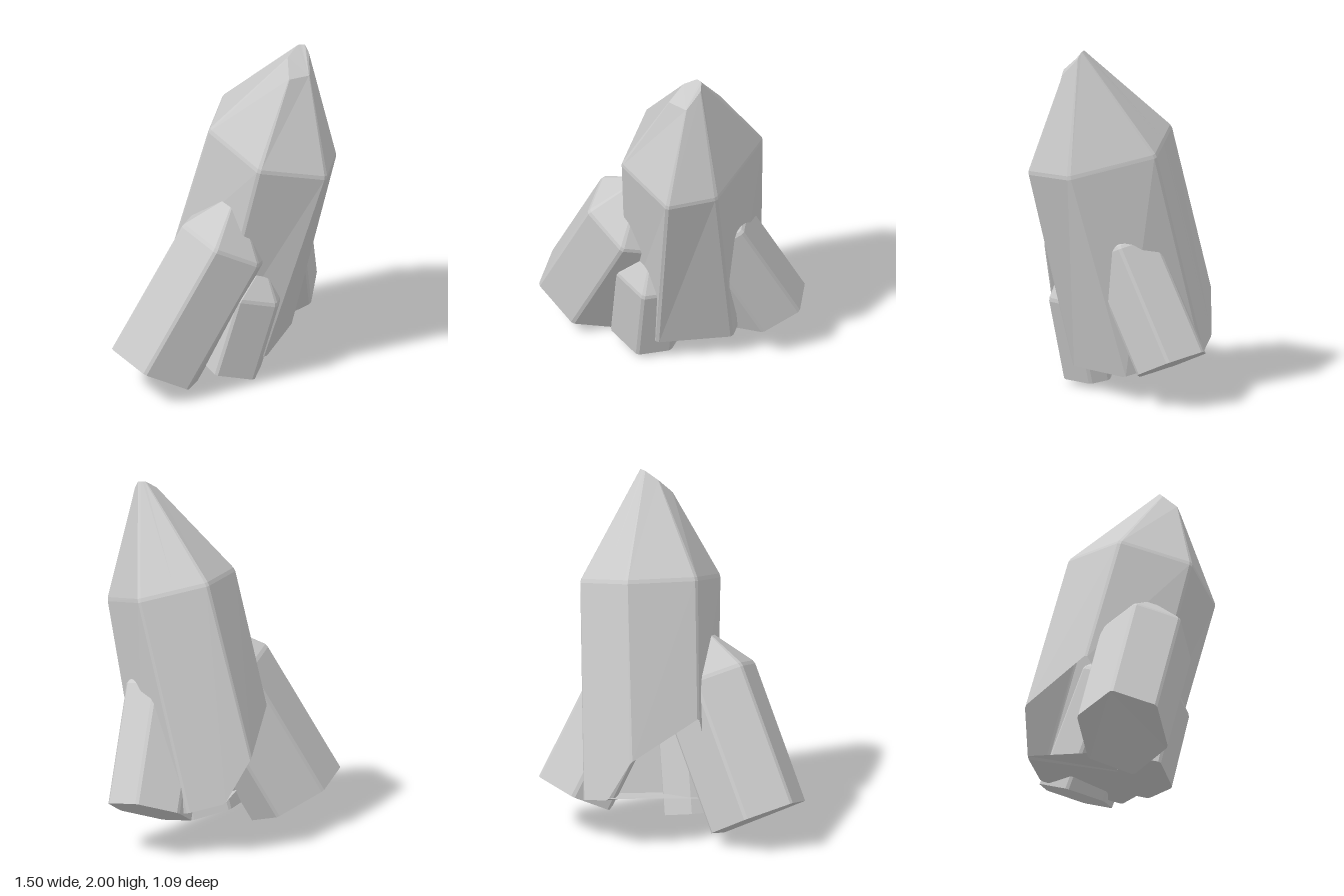
import * as THREE from 'three';

const V = (p) => new THREE.Vector3(...p);

// Split every corner of a ring into two points, giving narrow bevels along the edges
function soften(ring, r) {
  const n = ring.length;
  return ring.flatMap((p, i) => [ring[(i + n - 1) % n], ring[(i + 1) % n]].map((q) => {
    const d = q.clone().sub(p);
    return p.clone().addScaledVector(d, Math.min(0.3, r / Math.max(d.length(), 1e-4)));
  }));
}

// Point at distance d from a towards b
const step = (a, b, d) => a.clone().add(b.clone().sub(a).setLength(d));

// Faceted crystal lofted through base, shoulder and tip rings (counter-clockwise seen from above).
// floor lists the base corners that close the underside.
function crystal(name, base, shoulder, tip, floor, bevel = 0.012) {
  const rings = [
    base,
    shoulder.map((p, i) => step(p, base[i], bevel)),
    shoulder.map((p, i) => step(p, tip[i], bevel)),
    tip,
  ].map((ring, k) => soften(ring, k === 3 ? 0.004 : bevel));
  const pos = [];
  const tri = (...pts) => pts.forEach((p) => pos.push(p.x, p.y, p.z));
  const n = rings[0].length;

  // Walls, shoulder bevel and point
  for (let k = 0; k < 3; k++) {
    for (let i = 0; i < n; i++) {
      const j = (i + 1) % n;
      const [a, b, c, d] = [rings[k][i], rings[k][j], rings[k + 1][j], rings[k + 1][i]];
      tri(a, b, c);
      tri(a, c, d);
    }
  }
  // Tip cap
  for (let i = 1; i < n - 1; i++) tri(rings[3][0], rings[3][i], rings[3][i + 1]);
  // Underside
  const under = floor.flatMap((i) => [rings[0][2 * i], rings[0][2 * i + 1]]);
  for (let i = 1; i < under.length - 1; i++) tri(under[0], under[i + 1], under[i]);

  const geo = new THREE.BufferGeometry();
  geo.setAttribute('position', new THREE.Float32BufferAttribute(pos, 3));
  geo.computeVertexNormals();
  const mesh = new THREE.Mesh(geo, new THREE.MeshStandardMaterial({
    color: 0xcccccc, flatShading: true, side: THREE.DoubleSide,
  }));
  mesh.name = name;
  return mesh;
}

// Six-sided crystal: base ring pushed along an axis, closing to a small blunt tip
function sideCrystal(name, basePts, axis, tipPt) {
  const base = basePts.map(V);
  const shoulder = base.map((p) => p.clone().add(V(axis)));
  const centre = shoulder.reduce((s, p) => s.add(p), new THREE.Vector3()).divideScalar(6);
  const tip = shoulder.map((p) => V(tipPt).addScaledVector(p.clone().sub(centre), 0.08));
  return crystal(name, base, shoulder, tip, [0, 1, 2, 3, 4, 5]);
}

export function createModel() {
  const group = new THREE.Group();
  group.name = 'crystalCluster';

  // Large leaning crystal; its lower back corner is broken open
  const base = [
    [0.03, 0.13, 0.24], [0.41, 0.14, 0.05], [0.41, 0.25, -0.41], [0.23, 0.3, -0.51],
    [0.08, 0.55, -0.55], [-0.22, 0.75, -0.25], [-0.22, 0.17, 0.06],
  ].map(V);
  const shoulder = [
    [0.205, 1.3, 0.55], [0.44, 1.31, 0.38], [0.54, 1.43, -0.1], [0.37, 1.475, -0.195],
    [0.2, 1.52, -0.29], [-0.14, 1.5, -0.05], [-0.14, 1.39, 0.36],
  ].map(V);
  const tip = [
    [0.25, 1.86, 0.36], [0.31, 1.96, 0.29], [0.305, 2.0, 0.265], [0.29, 2.0, 0.25],
    [0.27, 2.0, 0.24], [0.19, 1.95, 0.245], [0.13, 1.86, 0.32],
  ].map(V);
  group.add(crystal('mainCrystal', base, shoulder, tip, [0, 1, 2, 3, 6]));

  // Medium crystal
  group.add(sideCrystal('mediumCrystal', [
    [-0.75, 0.29, -0.19], [-0.74, 0.22, 0.07], [-0.5, 0.08, 0.17],
    [-0.28, 0, 0.01], [-0.29, 0.08, -0.25], [-0.53, 0.22, -0.35],
  ], [0.365, 0.72, 0.19], [-0.1, 1.14, 0.13]));

  // Crystal leaning out on the other side
  group.add(sideCrystal('outerCrystal', [
    [0.75, 0.29, -0.11], [0.7, 0.33, -0.33], [0.47, 0.26, -0.41],
    [0.3, 0.16, -0.28], [0.35, 0.12, -0.06], [0.58, 0.19, 0.02],
  ], [-0.26, 0.62, 0.21], [0.23, 1.0, 0.06]));

  // Small front crystal
  group.add(sideCrystal('smallCrystal', [
    [-0.28, 0.09, 0.16], [-0.08, 0.03, 0.26], [0.08, 0.03, 0.15],
    [0.09, 0.05, 0.04], [-0.1, 0.11, -0.06], [-0.26, 0.11, 0.05],
  ], [0.075, 0.48, 0.11], [0, 0.72, 0.25]));

  return group;
}
